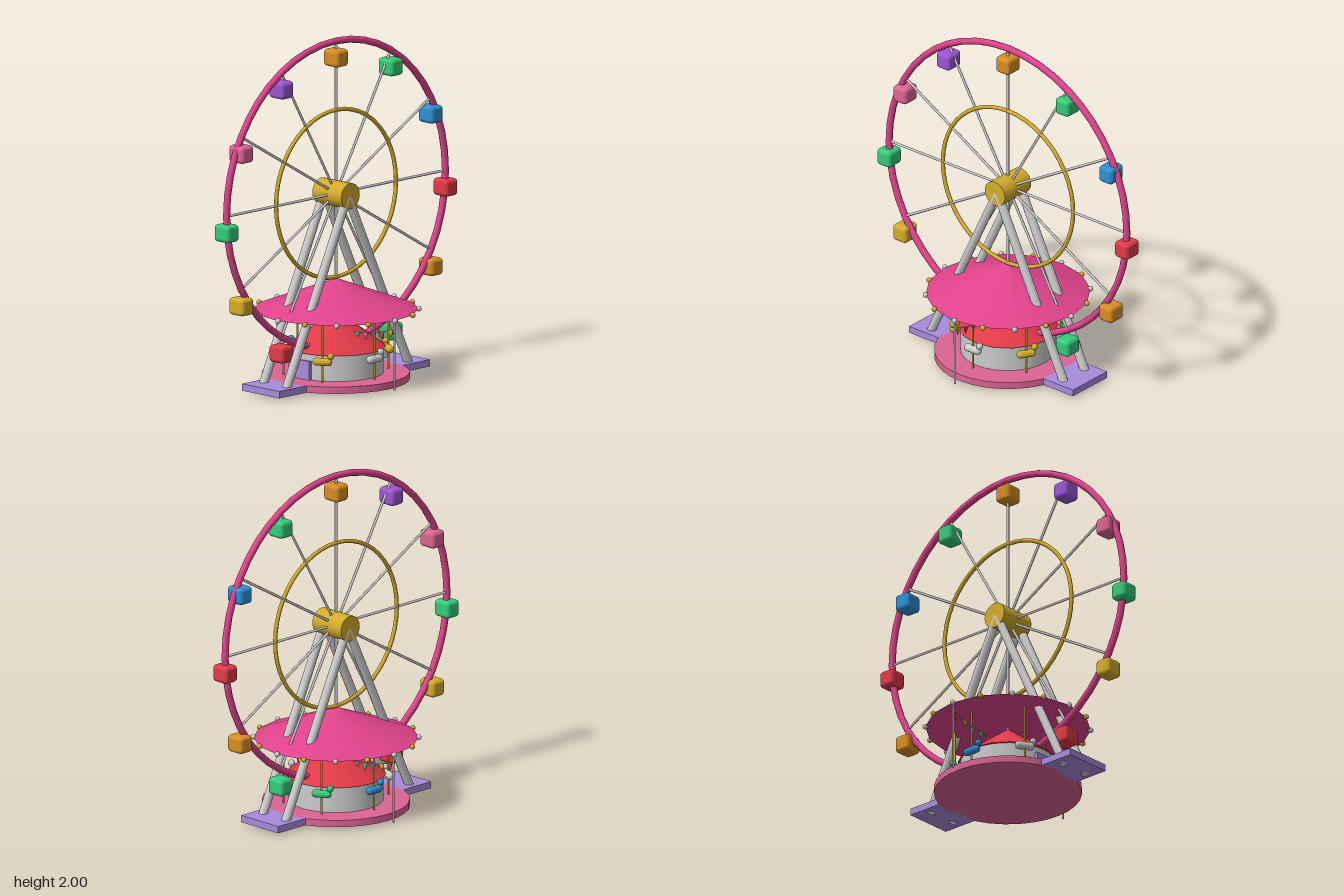
import * as THREE from 'three';
import { RoundedBoxGeometry } from 'three/addons/geometries/RoundedBoxGeometry.js';

const COLORS = {
  magenta: 0xe0438c, rose: 0xdc6494, gold: 0xd4ac2b, silver: 0xcccccc, lavender: 0xa88bdc,
  red: 0xe03a48, blue: 0x2e90d4, green: 0x34cc78, orange: 0xd88e22, purple: 0x9c56d4,
};

export function createModel() {
  const root = new THREE.Group();
  root.name = 'ferrisWheelAndCarousel';
  const mats = {};
  for (const [name, color] of Object.entries(COLORS)) {
    mats[name] = new THREE.MeshStandardMaterial({ color });
    mats[name].name = name;
  }

  const add = (parent, name, geo, color, x = 0, y = 0, z = 0) => {
    const mesh = new THREE.Mesh(geo, mats[color]);
    mesh.name = name;
    mesh.position.set(x, y, z);
    parent.add(mesh);
    return mesh;
  };
  const group = (name) => {
    const g = new THREE.Group();
    g.name = name;
    root.add(g);
    return g;
  };
  const UP = new THREE.Vector3(0, 1, 0);
  // Round bar between two points
  const rod = (parent, name, a, b, r, color, sides = 8) => {
    const from = new THREE.Vector3(...a), to = new THREE.Vector3(...b);
    const dir = to.clone().sub(from);
    const mesh = add(parent, name, new THREE.CylinderGeometry(r, r, dir.length(), sides), color);
    mesh.position.copy(from).add(to).multiplyScalar(0.5);
    mesh.quaternion.setFromUnitVectors(UP, dir.normalize());
    return mesh;
  };

  // Wheel: rims, hub and spokes, standing in the yz plane
  const wheel = group('wheel');
  const HUB_Y = 1.095, R = 0.885;
  const ring = (name, radius, tube, color) =>
    add(wheel, name, new THREE.TorusGeometry(radius, tube, 8, 48).rotateY(Math.PI / 2), color, 0, HUB_Y, 0);
  ring('outerRim', R, 0.02, 'magenta');
  ring('innerRim', 0.485, 0.012, 'gold');
  add(wheel, 'hub', new THREE.CylinderGeometry(0.075, 0.075, 0.23, 24).rotateZ(Math.PI / 2), 'gold', 0, HUB_Y, 0);

  // Spokes and hanging cabins, counted from the rear over the top
  const cabinColors = ['red', 'blue', 'green', 'orange', 'purple', 'rose', 'green', 'gold'];
  const cabinGeo = new RoundedBoxGeometry(0.115, 0.1, 0.1, 3, 0.022);
  for (let i = 0; i < 12; i++) {
    const a = (i / 12) * Math.PI * 2;
    const z = -R * Math.cos(a), dy = R * Math.sin(a);
    rod(wheel, 'spoke', [0, HUB_Y, 0], [0, HUB_Y + dy, z], 0.008, 'silver', 6);
    add(wheel, 'cabin', cabinGeo, cabinColors[i % 8], 0, HUB_Y - 0.095 + dy, z);
  }

  // A-frame legs and their foot pads
  const frame = group('supportFrame');
  for (const sz of [-1, 1]) {
    for (const sx of [-1, 1]) {
      rod(frame, 'leg', [sx * 0.092, HUB_Y, 0], [sx * 0.092, 0.015, sz * 0.51], 0.026, 'silver');
    }
    add(frame, 'footPad', new THREE.BoxGeometry(0.3, 0.04, 0.22), 'lavender', 0, 0.04, sz * 0.5);
  }

  // Carousel body
  const carousel = group('carousel');
  add(carousel, 'platform', new THREE.CylinderGeometry(0.42, 0.42, 0.04, 32), 'rose', 0, 0.04, 0);
  add(carousel, 'drum', new THREE.CylinderGeometry(0.27, 0.27, 0.16, 32), 'silver', 0, 0.13, 0);
  add(carousel, 'drumRoof', new THREE.ConeGeometry(0.285, 0.21, 16), 'red', 0, 0.315, 0);
  add(carousel, 'door', new THREE.BoxGeometry(0.125, 0.11, 0.03), 'lavender', 0, 0.115, 0.265);
  add(carousel, 'canopy', new THREE.ConeGeometry(0.47, 0.18, 16), 'magenta', 0, 0.515, 0);

  // Bulbs around the canopy edge
  const bulbGeo = new THREE.SphereGeometry(0.016, 10, 8);
  for (let i = 0; i < 16; i++) {
    const a = (i / 16) * Math.PI * 2;
    add(carousel, 'bulb', bulbGeo, i % 2 ? 'gold' : 'silver', 0.47 * Math.cos(a), 0.425, 0.47 * Math.sin(a));
  }

  // Six mounts on poles, each facing along the circle
  const mountColors = ['silver', 'gold', 'silver', 'blue', 'green', 'gold'];
  const bodyGeo = new THREE.CapsuleGeometry(0.023, 0.07, 6, 12).rotateX(Math.PI / 2);
  const headGeo = new THREE.SphereGeometry(0.02, 12, 8);
  mountColors.forEach((color, i) => {
    const a = (i / 6) * Math.PI * 2;
    const mount = new THREE.Group();
    mount.name = 'mount';
    mount.position.set(0.308 * Math.cos(a), 0, 0.308 * Math.sin(a));
    mount.rotation.y = -a;
    carousel.add(mount);
    rod(mount, 'mountPole', [0, 0.06, 0], [0, 0.425, 0], 0.006, 'gold');
    add(mount, 'mountBody', bodyGeo, color, 0, 0.18, 0);
    add(mount, 'mountHead', headGeo, color, 0, 0.214, -0.05);
  });

  // Bunting strung between two outer poles
  const bunting = group('bunting');
  const SPAN = 0.465;
  for (const s of [-1, 1]) rod(bunting, 'buntingPole', [s * SPAN, 0.02, 0], [s * SPAN, 0.425, 0], 0.006, 'silver');
  const sag = (x) => 0.305 + 0.068 * (x / SPAN) ** 2;
  const points = [];
  for (let i = 0; i <= 8; i++) {
    const x = SPAN * (i / 4 - 1);
    points.push(new THREE.Vector3(x, sag(x), 0));
  }
  add(bunting, 'string', new THREE.TubeGeometry(new THREE.CatmullRomCurve3(points), 28, 0.003, 5), 'silver');
  const flagShape = new THREE.Shape([[-0.021, 0], [0, -0.042], [0.021, 0]].map((p) => new THREE.Vector2(...p)));
  const flagGeo = new THREE.ExtrudeGeometry(flagShape, { depth: 0.004, bevelEnabled: false }).translate(0, 0, -0.002);
  const flagColors = ['red', 'gold', 'blue', 'green', 'rose', 'purple'];
  for (let i = 0; i < 14; i++) {
    const x = SPAN * ((2 * i + 1) / 14 - 1);
    const flag = add(bunting, 'flag', flagGeo, flagColors[i % 6], x, sag(x), 0);
    flag.rotation.z = Math.atan((0.136 * x) / SPAN ** 2);
  }

  return root;
}
